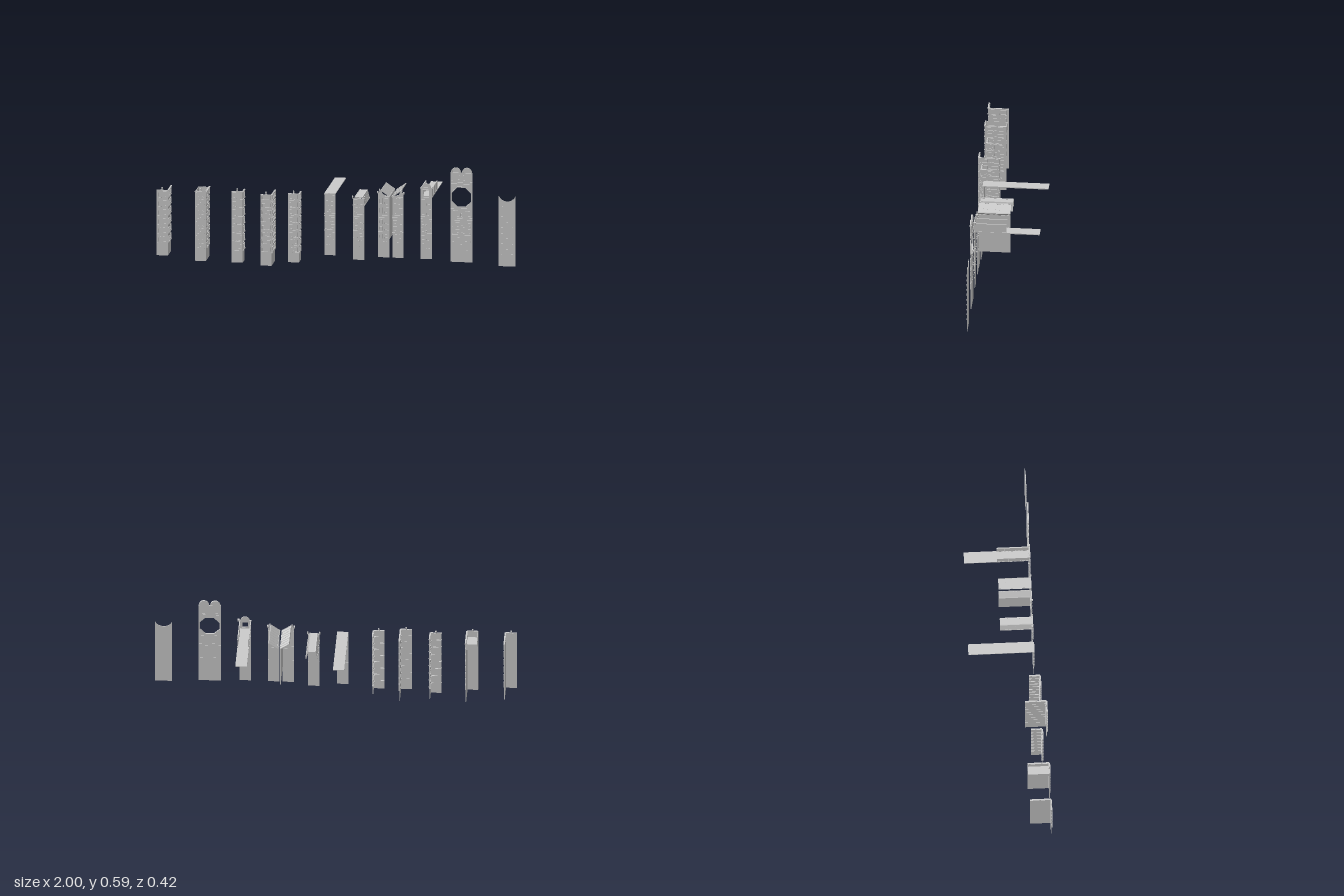
import * as THREE from 'three';

const mat = new THREE.MeshStandardMaterial({ color: 0xcccccc, flatShading: true, side: THREE.DoubleSide });
const T = 0.003; // wall thickness

function add(parent, name, geo, x = 0, y = 0, z = 0) {
  const m = new THREE.Mesh(geo, mat);
  m.name = name;
  m.position.set(x, y, z);
  parent.add(m);
  return m;
}
// Box given by its ranges
function box(parent, name, x0, x1, y0, y1, z0, z1) {
  return add(parent, name, new THREE.BoxGeometry(x1 - x0, y1 - y0, z1 - z0), (x0 + x1) / 2, (y0 + y1) / 2, (z0 + z1) / 2);
}
function sub(parent, name, x = 0, y = 0, z = 0, ry = 0) {
  const g = new THREE.Group();
  g.name = name;
  g.position.set(x, y, z);
  g.rotation.y = ry;
  parent.add(g);
  return g;
}
function plate(points, hole, depth = T) {
  const s = new THREE.Shape(points.map(p => new THREE.Vector2(...p)));
  if (hole) s.holes.push(new THREE.Path(hole.map(p => new THREE.Vector2(...p))));
  return new THREE.ExtrudeGeometry(s, { depth, bevelEnabled: false });
}
const rect = (w, h) => [[-w / 2, -h / 2], [w / 2, -h / 2], [w / 2, h / 2], [-w / 2, h / 2]];
const arc = (cx, cy, r, a0, a1, n = 10) => Array.from({ length: n + 1 }, (_, i) => {
  const a = a0 + (a1 - a0) * i / n;
  return [cx + r * Math.cos(a), cy + r * Math.sin(a)];
});

// Framed window with sill, standing out from a wall at local z = 0
function windowUnit(g, x, y, w, h) {
  add(g, 'windowFrame', plate(rect(w, h), rect(w - 0.007, h - 0.008), 0.004), x, y, 0);
  box(g, 'windowSill', x - w / 2 - 0.001, x + w / 2 + 0.001, y - h / 2 - 0.003, y - h / 2, 0, 0.0055);
}
function cornice(g, w, y, h = 0.005, out = 0.005) {
  box(g, 'cornice', -w / 2, w / 2, y, y + h, -T - 0.001, out);
}
// One storey: a pair of windows with small brackets between
function storey(g, w, y, pitch) {
  const h = pitch * 0.62;
  for (const s of [-1, 1]) windowUnit(g, s * w * 0.25, y, w * 0.32, h);
  box(g, 'bracket', -w * 0.05, w * 0.05, y - h / 2, y - h / 6, 0, 0.004);
}
function finial(g, x, y, z, s = 1) {
  add(g, 'finialStem', new THREE.CylinderGeometry(0.003 * s, 0.005 * s, 0.01 * s, 6), x, y + 0.005 * s, z);
  add(g, 'finialBall', new THREE.SphereGeometry(0.005 * s, 8, 6), x, y + 0.011 * s, z);
}

// Decorated outer face of a corner tower, local x centred
function towerFace(g, w, y0, y1, base, rows, style) {
  box(g, 'wall', -w / 2, w / 2, y0, y1, -T, 0);
  const pitch = (y1 - base) / rows;
  for (let i = 0; i < rows; i++) {
    const y = base + pitch * (i + 0.5);
    storey(g, w * 0.94, y, pitch);
    if (style !== 'plain') cornice(g, w, y - pitch / 2, 0.004, 0.004);
    if (style === 'balcony') {
      box(g, 'balcony', -w * 0.46, w * 0.46, y - pitch * 0.46, y - pitch * 0.2, 0, 0.006);
      for (const s of [-1, 1]) box(g, 'pilaster', s * w * 0.46 - 0.002, s * w * 0.46 + 0.002, y - pitch * 0.4, y + pitch * 0.4, 0, 0.005);
    }
    if (style === 'ledge') box(g, 'innerLedge', -w / 2, w / 2, y - pitch / 2, y - pitch / 2 + 0.002, -0.006, 0.004);
  }
  cornice(g, w, y1 - 0.006);
}

// L-shaped corner tower: front wall and left side wall
function cornerTower(root, o) {
  const t = sub(root, 'cornerTower');
  const w = o.x1 - o.x0, d = o.z1 - o.z0;
  towerFace(sub(t, 'frontFace', (o.x0 + o.x1) / 2, 0, o.z1), w, o.y0, o.y1, o.base, o.rows, o.style);
  towerFace(sub(t, 'sideFace', o.x1, 0, (o.z0 + o.z1) / 2, Math.PI / 2), d, o.y0, o.y1, o.base, o.rows, o.style);
  finial(t, (o.x0 + o.x1) / 2, o.y1, o.z1 - 0.003);
  if (o.crown) { // walled roof terrace
    box(t, 'terraceFloor', o.x0, o.x1, 0.367, 0.37, o.z0, o.z1);
    box(t, 'terraceSide', o.x0, o.x0 + T, 0.367, o.y1 - 0.005, o.z0, o.z1);
    box(t, 'terraceBack', o.x0, o.x1, 0.367, o.y1 - 0.005, o.z0, o.z0 + T);
  }
}

// Flat house front with a plain foot, small vents and a decorated upper part
function houseFront(root, name, x0, x1, y0, y1, bare = false) {
  const w = x1 - x0, g = sub(root, name, (x0 + x1) / 2, 0, 0.148);
  if (!bare) box(g, 'wall', -w / 2, w / 2, y0, y1, -T, 0);
  for (const y of [0.115, 0.145])
    for (const s of [-1, 0, 1]) box(g, 'vent', s * w * 0.26 - 0.004, s * w * 0.26 + 0.004, y, y + 0.004, 0, 0.003);
  for (const y of [0.2, 0.283, 0.295]) cornice(g, w, y);
  for (const y of [0.18, 0.225, 0.262]) storey(g, w, y, 0.038);
  const rows = Math.max(1, Math.round((Math.min(y1, 0.41) - 0.3) / 0.045)), pitch = (Math.min(y1, 0.41) - 0.3) / rows;
  if (!bare) {
    for (let i = 0; i < rows; i++) storey(g, w, 0.3 + pitch * (i + 0.5), pitch);
    cornice(g, w, y1 - 0.006);
  }
  return g;
}

// Row of framed panels along z, between a low and a high edge
function panelRow(root, xa, ya, xb, yb) {
  const z0 = -0.03, z1 = 0.148, n = 8, len = Math.hypot(xb - xa, yb - ya), step = (z1 - z0) / n;
  const g = sub(root, 'roofPanels', (xa + xb) / 2, (ya + yb) / 2, (z0 + z1) / 2);
  g.rotation.z = Math.atan2(yb - ya, xb - xa);
  box(g, 'roofSheet', -len / 2, len / 2, -0.001, 0.001, -(z1 - z0) / 2, (z1 - z0) / 2);
  for (let i = 0; i <= n; i++) {
    const z = -(z1 - z0) / 2 + step * i;
    box(g, 'rib', -len / 2, len / 2, -0.0025, 0.0025, Math.max(z - 0.003, -0.089), Math.min(z + 0.003, 0.089));
  }
  for (const s of [-1, 1]) box(g, 'rail', s * len / 2 - 0.0025, s * len / 2 + 0.0025, -0.003, 0.003, -0.089, 0.089);
}

export function createModel() {
  const root = new THREE.Group();
  root.name = 'buildingFacadeSet';

  // Corner towers
  [
    { x0: -1, x1: -0.936, y0: 0.035, y1: 0.408, z0: 0.09, z1: 0.205, base: 0.1, rows: 6, style: 'plain' },
    { x0: -0.785, x1: -0.723, y0: 0.012, y1: 0.41, z0: 0.085, z1: 0.205, base: 0.08, rows: 8, style: 'plain', crown: true },
    { x0: -0.585, x1: -0.522, y0: 0.004, y1: 0.41, z0: 0.112, z1: 0.175, base: 0.07, rows: 7, style: 'ledge' },
    { x0: -0.418, x1: -0.356, y0: 0, y1: 0.405, z0: 0.086, z1: 0.205, base: 0.07, rows: 8, style: 'balcony' },
    { x0: -0.268, x1: -0.207, y0: 0.018, y1: 0.41, z0: 0.116, z1: 0.177, base: 0.07, rows: 8, style: 'ledge' },
  ].forEach(o => cornerTower(root, o));

  // House with a long flat roof
  houseFront(root, 'flatRoofHouse', -0.07, -0.008, 0.06, 0.41);
  box(root, 'longRoof', -0.07, -0.008, 0.407, 0.412, -0.213, 0.148);

  // House with a low mansard
  const mansard = houseFront(root, 'mansardHouse', 0.09, 0.153, 0.04, 0.39);
  for (const s of [-1, 1]) {
    panelRow(root, 0.1215 + s * 0.031, 0.35, 0.1215 + s * 0.02, 0.395);
    finial(mansard, s * 0.033, 0.388, 0.002);
  }
  box(root, 'mansardTop', 0.102, 0.141, 0.393, 0.396, -0.03, 0.148);

  // Pair of houses whose roofs slope towards each other
  for (const s of [-1, 1]) {
    const c = 0.302, inner = c + s * 0.008, outer = c + s * 0.071;
    const g = houseFront(root, 'slopedRoofHouse', Math.min(inner, outer), Math.max(inner, outer), 0.06, 0.407);
    panelRow(root, Math.min(inner, c + s * 0.055), s < 0 ? 0.44 : 0.407, Math.max(inner, c + s * 0.055), s < 0 ? 0.407 : 0.44);
    const gable = [[-s * 0.03, 0.407], [s * 0.0315, 0.407], [s * 0.031, 0.425], [s * 0.016, 0.44], [s * 0.004, 0.418]];
    add(g, 'gable', plate(gable), 0, 0, -T);
    finial(g, s * 0.022, 0.435, 0, 0.9);
    box(g, 'eaveOrnament', s * 0.033 - 0.004, s * 0.033 + 0.004, 0.425, 0.436, -0.004, 0.008);
  }
  box(root, 'partyWall', 0.292, 0.295, 0.165, 0.41, -0.03, 0.148);

  // House with panelled parapets and a dormer front
  const dormer = houseFront(root, 'dormerHouse', 0.468, 0.532, 0.06, 0.41);
  box(root, 'longRoof', 0.468, 0.532, 0.407, 0.412, -0.213, 0.148);
  for (const x of [0.47, 0.53]) panelRow(root, x, 0.411, x, 0.46);
  const top = [[-0.032, 0.41], [0.032, 0.41], [0.032, 0.465], ...arc(0, 0.465, 0.026, 0, Math.PI, 8), [-0.032, 0.465]];
  add(dormer, 'dormerFront', plate(top, [[-0.017, 0.418], [0.017, 0.418], [0.017, 0.453], [-0.017, 0.453]], 0.004), 0, 0, -T);
  add(dormer, 'dormerFrame', plate(rect(0.042, 0.043), rect(0.032, 0.033), 0.006), 0, 0.436, 0);
  cornice(dormer, 0.068, 0.461);
  box(dormer, 'eaveOrnament', 0.032, 0.043, 0.461, 0.472, -0.008, 0.006);

  // Tall front with an octagonal opening and twin arched tops
  const tall = houseFront(root, 'octagonHouse', 0.635, 0.759, 0.05, 0.56, true);
  const octagon = r => Array.from({ length: 8 }, (_, i) => {
    const a = Math.PI / 8 + i * Math.PI / 4;
    return [r * Math.cos(a), 0.42 + r * Math.sin(a)];
  });
  const outline = [[-0.062, 0.05], [0.062, 0.05], [0.062, 0.56],
    ...arc(0.031, 0.56, 0.028, 0, Math.PI), ...arc(-0.031, 0.56, 0.028, 0, Math.PI), [-0.062, 0.56]];
  add(tall, 'wall', plate(outline, octagon(0.059)), 0, 0, -T);
  add(tall, 'octagonFrame', plate(octagon(0.064), octagon(0.059), 0.005));
  for (const y of [0.35, 0.49, 0.5, 0.553]) cornice(tall, 0.124, y);
  for (const s of [-1, 1]) {
    storey(tall, 0.001, 0.32, 0.04);
    for (const k of [-1, 1]) {
      windowUnit(tall, s * 0.031 + k * 0.013, 0.53, 0.02, 0.03);
      windowUnit(tall, s * 0.031 + k * 0.013, 0.324, 0.02, 0.035);
    }
    add(tall, 'archMoulding', plate([...arc(s * 0.031, 0.56, 0.028, 0, Math.PI), ...arc(s * 0.031, 0.56, 0.021, Math.PI, 0)], null, 0.006));
  }

  // Plain front with a scooped top and small vents
  const scoop = sub(root, 'scoopedFront', 0.952, 0, 0.148);
  const scoopOutline = [[-0.048, 0.036], [0.048, 0.036], [0.048, 0.435],
    ...arc(0, 0.455, 0.05, -0.42, -Math.PI + 0.42, 12), [-0.048, 0.435]];
  add(scoop, 'wall', plate(scoopOutline), 0, 0, -T);
  for (let r = 0; r < 10; r++)
    for (const x of [-0.028, 0, 0.028]) {
      const y = 0.1 + r * 0.03, h = r > 4 ? 0.008 : 0.004;
      box(scoop, 'vent', x - 0.006, x + 0.006, y, y + h, 0, 0.003);
    }
  return root;
}
